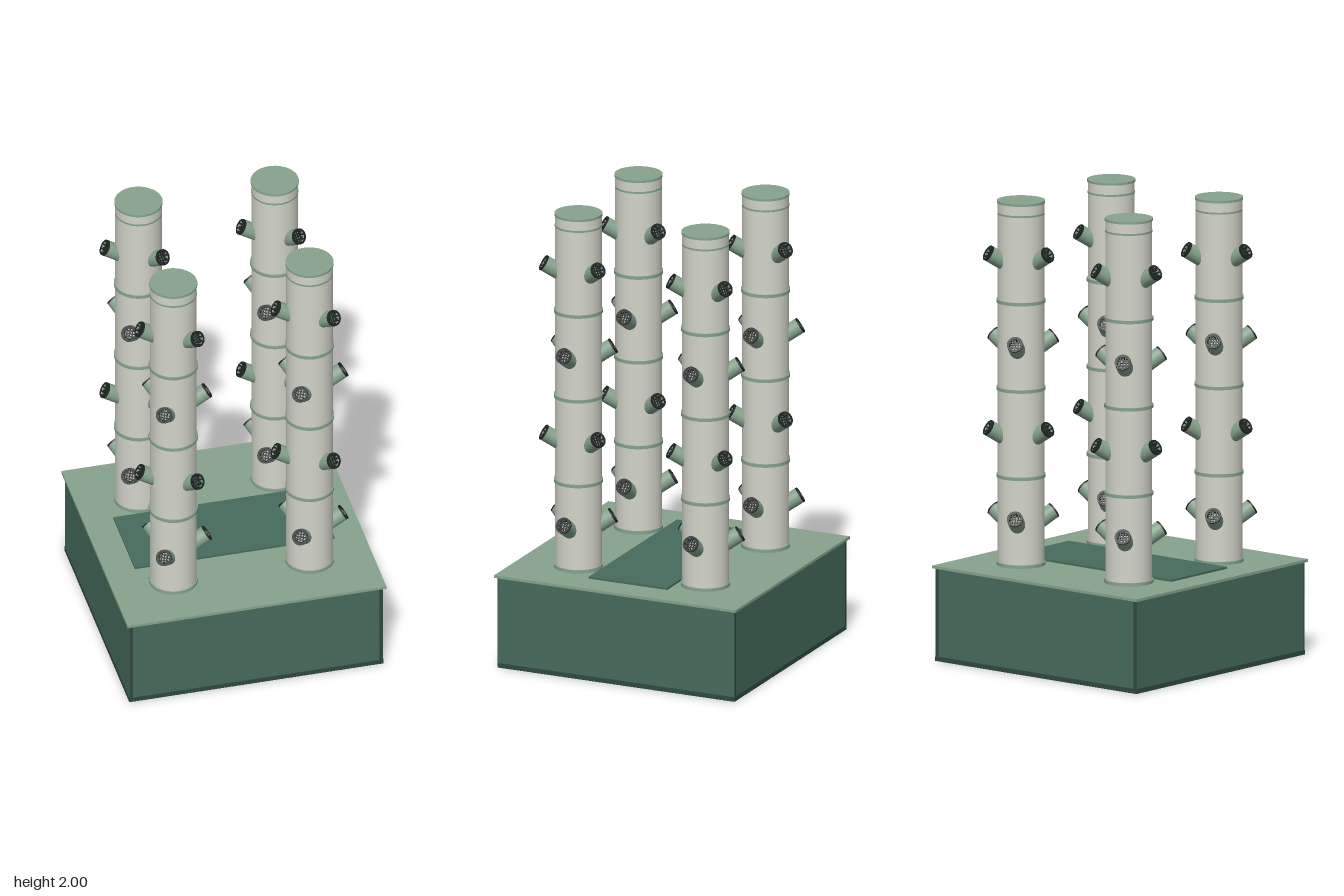
import * as THREE from 'three';

const mat = (name, color, side = THREE.FrontSide) => {
  const m = new THREE.MeshStandardMaterial({ color, side });
  m.name = name;
  return m;
};

export function createModel() {
  const paleGreen = mat('pale green', 0x86a38c, THREE.DoubleSide);
  const deepGreen = mat('deep green', 0x466c5c);
  const darkTrim = mat('dark trim green', 0x30493f);
  const offWhite = mat('off white', 0xd2d4c8);
  const black = mat('net cup black', 0x1d2421, THREE.DoubleSide);

  const root = new THREE.Group();
  root.name = 'verticalGardenTowers';

  const add = (parent, name, geometry, material, x = 0, y = 0, z = 0) => {
    const mesh = new THREE.Mesh(geometry, material);
    mesh.name = name;
    mesh.position.set(x, y, z);
    parent.add(mesh);
    return mesh;
  };
  const box = (w, h, d) => new THREE.BoxGeometry(w, h, d);
  const cyl = (r, h, open = false, n = 40) => new THREE.CylinderGeometry(r, r, h, n, 1, open);

  // Reservoir: floor, walls, corner strips, lid and hatch
  add(root, 'tankFloor', box(1.12, 0.02, 1.12), darkTrim, 0, 0.01);
  add(root, 'tankWalls', box(1.114, 0.386, 1.114), deepGreen, 0, 0.212);
  for (const sx of [-1, 1]) for (const sz of [-1, 1]) {
    add(root, 'cornerStrip', box(0.014, 0.386, 0.006), darkTrim, sx * 0.55, 0.212, sz * 0.557);
  }
  add(root, 'tankLid', box(1.14, 0.012, 1.14), paleGreen, 0, 0.409);
  add(root, 'accessHatch', box(0.88, 0.01, 0.37), deepGreen, 0, 0.419);

  // Geometry shared by every planting port (local y is the port's axis)
  const portR = 0.035, cupDepth = 0.034;
  const portGeo = cyl(portR, 0.09, true, 24);
  const rimGeo = new THREE.CylinderGeometry(portR, portR, 0.007, 24, 1, true);
  const lipGeo = new THREE.RingGeometry(0.0255, portR, 24).rotateX(-Math.PI / 2);
  const hoopGeo = new THREE.TorusGeometry(0.024, 0.0025, 6, 20).rotateX(Math.PI / 2);
  const ribGeo = box(0.004, cupDepth, 0.006);
  const barGeo = box(0.05, 0.004, 0.005);

  function makePort() {
    const port = new THREE.Group();
    port.name = 'plantingPort';
    add(port, 'portTube', portGeo, paleGreen, 0, -0.045);
    const cup = new THREE.Group();
    cup.name = 'netCup';
    port.add(cup);
    add(cup, 'cupRim', rimGeo, black, 0, 0.0035);
    add(cup, 'cupLip', lipGeo, black, 0, 0.007);
    add(cup, 'cupHoop', hoopGeo, black, 0, -0.012);
    for (let i = 0; i < 8; i++) {
      const a = i * Math.PI / 4;
      const rib = add(cup, 'cupRib', ribGeo, black, 0.0255 * Math.cos(a), -cupDepth / 2 + 0.005, -0.0255 * Math.sin(a));
      rib.rotation.y = a;
    }
    for (const o of [-0.012, 0, 0.012]) {
      const len = Math.sqrt(1 - (o / 0.027) ** 2);
      add(cup, 'cupGridBar', barGeo, black, 0, -0.004, o).scale.x = len;
      const cross = add(cup, 'cupGridBar', barGeo, black, o, -0.004, 0);
      cross.rotation.y = Math.PI / 2;
      cross.scale.x = len;
    }
    return port;
  }

  // One tower: pipe, joint rings, cap and four staggered levels of three ports
  const pipeGeo = cyl(0.1, 1.575);
  const ringGeo = cyl(0.105, 0.014);
  const topRingGeo = cyl(0.1012, 0.008);
  const capGeo = cyl(0.103, 0.01);

  function makeTower() {
    const tower = new THREE.Group();
    tower.name = 'tower';
    add(tower, 'towerPipe', pipeGeo, offWhite, 0, 1.2025);
    add(tower, 'baseFlange', ringGeo, paleGreen, 0, 0.422);
    for (let k = 0; k < 3; k++) add(tower, 'jointRing', ringGeo, paleGreen, 0, 0.804 + 0.38 * k);
    add(tower, 'topJointRing', topRingGeo, paleGreen, 0, 1.945);
    add(tower, 'towerCap', capGeo, paleGreen, 0, 1.995);

    for (let level = 0; level < 4; level++) {
      for (let i = 0; i < 3; i++) {
        const arm = new THREE.Group();
        arm.name = 'portArm';
        arm.rotation.y = i * Math.PI * 2 / 3 + (level % 2) * Math.PI;
        const port = makePort();
        port.position.set(0.145, 0.637 + 0.38 * level, 0);
        port.rotation.z = -THREE.MathUtils.degToRad(58);
        arm.add(port);
        tower.add(arm);
      }
    }
    return tower;
  }

  for (const x of [-0.3, 0.3]) for (const z of [-0.3, 0.3]) {
    const tower = makeTower();
    tower.position.set(x, 0, z);
    root.add(tower);
  }
  return root;
}
